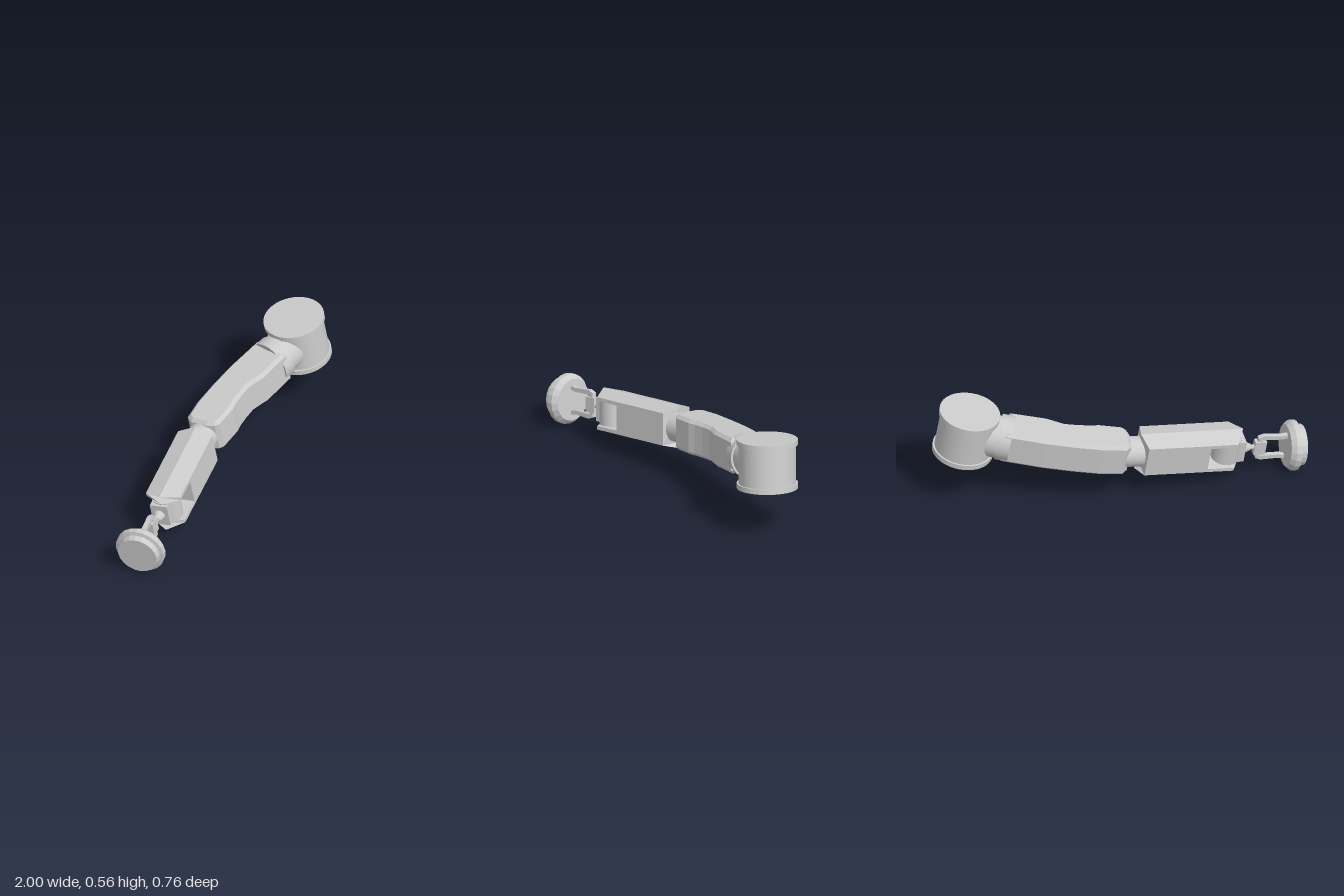
import * as THREE from 'three';

const flat = new THREE.MeshStandardMaterial({ color: 0xcccccc, flatShading: true });
const smooth = new THREE.MeshStandardMaterial({ color: 0xcccccc });

function add(parent, name, geometry, material = flat) {
  const mesh = new THREE.Mesh(geometry, material);
  mesh.name = name;
  parent.add(mesh);
  return mesh;
}

const toShape = (pts) => new THREE.Shape(pts.map(([a, b]) => new THREE.Vector2(a, b)));

// Upright cylinder along y
function post(parent, name, r, h, x, y, z) {
  const mesh = add(parent, name, new THREE.CylinderGeometry(r, r, h, 48), smooth);
  mesh.position.set(x, y, z);
  return mesh;
}

// Cylinder lying along x, from x0 to x1
function axle(parent, name, r0, r1, x0, x1, z, sides = 40) {
  const geo = new THREE.CylinderGeometry(r1, r0, x1 - x0, sides).rotateZ(-Math.PI / 2);
  const mesh = add(parent, name, geo, smooth);
  mesh.position.set((x0 + x1) / 2, 0, z);
  return mesh;
}

// Section (z, y) swept along x from x0 to x1, with the middle of an end pushed out to a point
function ridged(pts, x0, x1, tip0, tip1) {
  const geo = new THREE.ExtrudeGeometry(toShape(pts), { depth: x1 - x0, bevelEnabled: false });
  geo.rotateY(Math.PI / 2).translate(x0, 0, 0);
  const p = geo.attributes.position;
  for (let i = 0; i < p.count; i++) {
    if (Math.abs(p.getZ(i)) > 0.01) continue;
    const x = p.getX(i);
    p.setX(i, x < (x0 + x1) / 2 ? x - tip0 : x + tip1);
  }
  geo.computeVertexNormals();
  return geo;
}

export function createModel() {
  const model = new THREE.Group();
  model.name = 'roboticArm';

  // The whole arm lies in one tilted plane
  const arm = new THREE.Group();
  arm.name = 'arm';
  arm.rotation.set(-0.066, 0, 0.165);
  arm.position.y = 0.278;
  model.add(arm);

  // Shoulder drum with a rim at each end
  const shoulder = new THREE.Group();
  shoulder.name = 'shoulder';
  shoulder.position.set(0.822, 0.002, -0.196);
  arm.add(shoulder);
  post(shoulder, 'shoulderDrum', 0.156, 0.26, 0, 0, 0);
  for (const s of [1, -1]) post(shoulder, 'shoulderRim', 0.166, 0.028, 0, s * 0.121, 0);

  // Collar between drum and upper arm
  axle(arm, 'shoulderCollar', 0.125, 0.125, 0.575, 0.645, -0.183);
  axle(arm, 'shoulderNeck', 0.116, 0.116, 0.62, 0.75, -0.186);

  // Upper arm: curved plan outline with chamfered edges
  const outline = [
    [-0.07, -0.155], [-0.05, -0.197], [0.07, -0.232], [0.22, -0.256], [0.38, -0.274], [0.61, -0.283],
    [0.61, -0.072], [0.41, -0.058], [0.31, -0.074], [0.24, -0.062], [0.17, -0.044], [0.13, -0.028],
    [0, -0.008], [-0.025, -0.02], [-0.05, -0.06],
  ];
  const bevel = 0.018;
  const upperArm = new THREE.ExtrudeGeometry(toShape(outline.map(([x, z]) => [x, -z])), {
    depth: 0.196 - 2 * bevel, bevelEnabled: true, bevelSegments: 1,
    bevelThickness: bevel, bevelSize: bevel, bevelOffset: -bevel,
  });
  upperArm.translate(0, 0, bevel - 0.098).rotateX(-Math.PI / 2);
  add(arm, 'upperArm', upperArm);

  // Forearm, turned at the elbow; x runs along it
  const forearm = new THREE.Group();
  forearm.name = 'forearm';
  forearm.position.set(-0.368, -0.003, 0.03);
  forearm.rotation.y = 0.384;
  arm.add(forearm);
  axle(forearm, 'elbowJoint', 0.083, 0.083, 0.22, 0.43, 0);
  const side = 0.09, ridge = 0.118, half = 0.1, slot = 0.07;
  add(forearm, 'forearmBody', ridged([
    [half, -side], [half, side], [0, ridge], [-half, side], [-half, -side], [0, -ridge],
  ], -0.1, 0.255, 0, 0.025));

  // Two pointed plates that hold the wrist
  for (const s of [1, -1]) {
    add(forearm, 'wristPlate', ridged([
      [-half, s * slot], [0, s * slot], [half, s * slot], [half, s * side], [0, s * ridge], [-half, s * side],
    ], -0.25, -0.1, 0.05, 0));
  }

  // Wrist drum, its face plate and the tapered link
  post(forearm, 'wristDrum', 0.076, 0.14, -0.225, 0, 0);
  add(forearm, 'wristFacePlate', new THREE.BoxGeometry(0.04, 0.13, 0.1)).position.set(-0.295, 0, -0.008);
  axle(forearm, 'wristCone', 0.018, 0.036, -0.355, -0.312, -0.014, 16);
  axle(forearm, 'wristRod', 0.014, 0.014, -0.39, -0.34, -0.016, 12);

  // Hand: block, fork and round pad
  const hand = new THREE.Group();
  hand.name = 'hand';
  hand.position.z = -0.018;
  forearm.add(hand);
  add(hand, 'handBlock', new THREE.BoxGeometry(0.065, 0.085, 0.036)).position.set(-0.407, 0, 0);
  for (const s of [1, -1]) {
    const prong = new THREE.ExtrudeGeometry(toShape([
      [-0.57, 0.06 * s], [-0.57, 0.083 * s], [-0.52, 0.074 * s], [-0.42, 0.08 * s], [-0.39, 0.068 * s],
      [-0.39, 0.035 * s], [-0.412, 0.035 * s], [-0.412, 0.054 * s], [-0.52, 0.052 * s],
    ]), { depth: 0.026, bevelEnabled: false }).translate(0, 0, -0.013);
    add(hand, 'forkProng', prong);
  }
  const pad = new THREE.LatheGeometry([
    [0, -0.05], [0.112, -0.05], [0.118, -0.018], [0.138, -0.012], [0.138, 0.018], [0.116, 0.044], [0, 0.044],
  ].map(([r, y]) => new THREE.Vector2(r, y)), 20).rotateZ(-Math.PI / 2);
  add(hand, 'handPad', pad).position.set(-0.597, 0, 0);

  return model;
}
